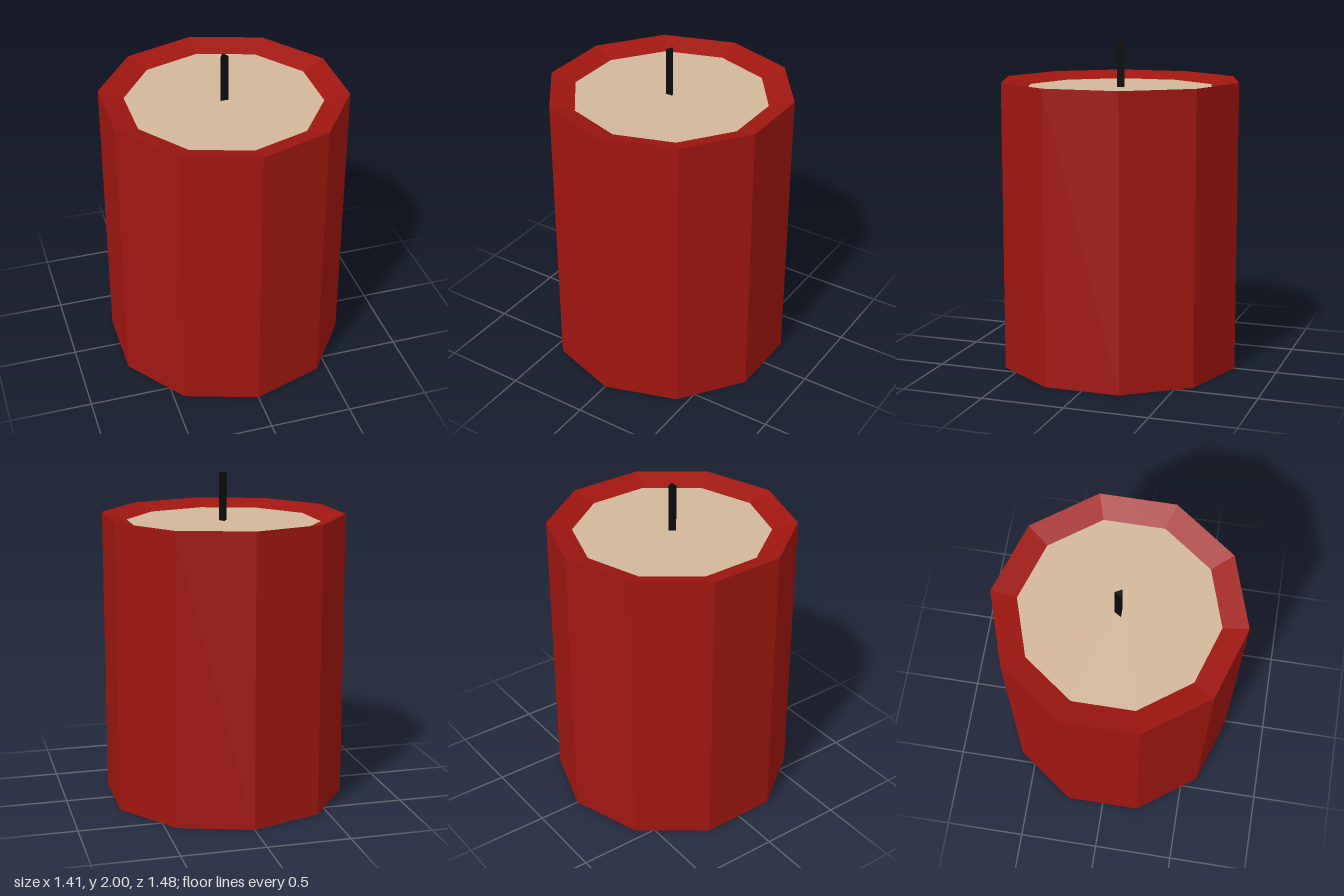
import * as THREE from 'three';

const SIDES = 10;
const RADIUS = 0.74, HEIGHT = 1.755;
const POOL_RADIUS = 0.59, POOL_Y = 1.71;

function addPart(group, name, geometry, color) {
  const flat = geometry.toNonIndexed();
  flat.computeVertexNormals();
  const mesh = new THREE.Mesh(flat, new THREE.MeshStandardMaterial({ color, flatShading: true }));
  mesh.name = name;
  group.add(mesh);
  return mesh;
}

export function createModel() {
  const candle = new THREE.Group();
  candle.name = 'candle';

  // Red wax: base, ten-sided wall and a rim sloping down to the pool
  const profile = [
    [0, 0], [RADIUS, 0], [RADIUS, HEIGHT], [POOL_RADIUS, POOL_Y],
  ].map(([r, y]) => new THREE.Vector2(r, y));
  addPart(candle, 'waxBody', new THREE.LatheGeometry(profile, SIDES), 0xa01610);

  // Pale wax pool closing the top, corners in line with the wall
  const pool = new THREE.CircleGeometry(POOL_RADIUS, SIDES, Math.PI / 2);
  pool.rotateX(-Math.PI / 2);
  pool.translate(0, POOL_Y, 0);
  addPart(candle, 'waxPool', pool, 0xd2b698);

  // Three-sided wick, one edge to the back
  const wickHeight = 2 - POOL_Y;
  const wick = new THREE.CylinderGeometry(0.027, 0.027, wickHeight, 3);
  wick.rotateY(Math.PI);
  wick.translate(0, POOL_Y + wickHeight / 2, 0);
  addPart(candle, 'wick', wick, 0x0b0b0b);

  return candle;
}
